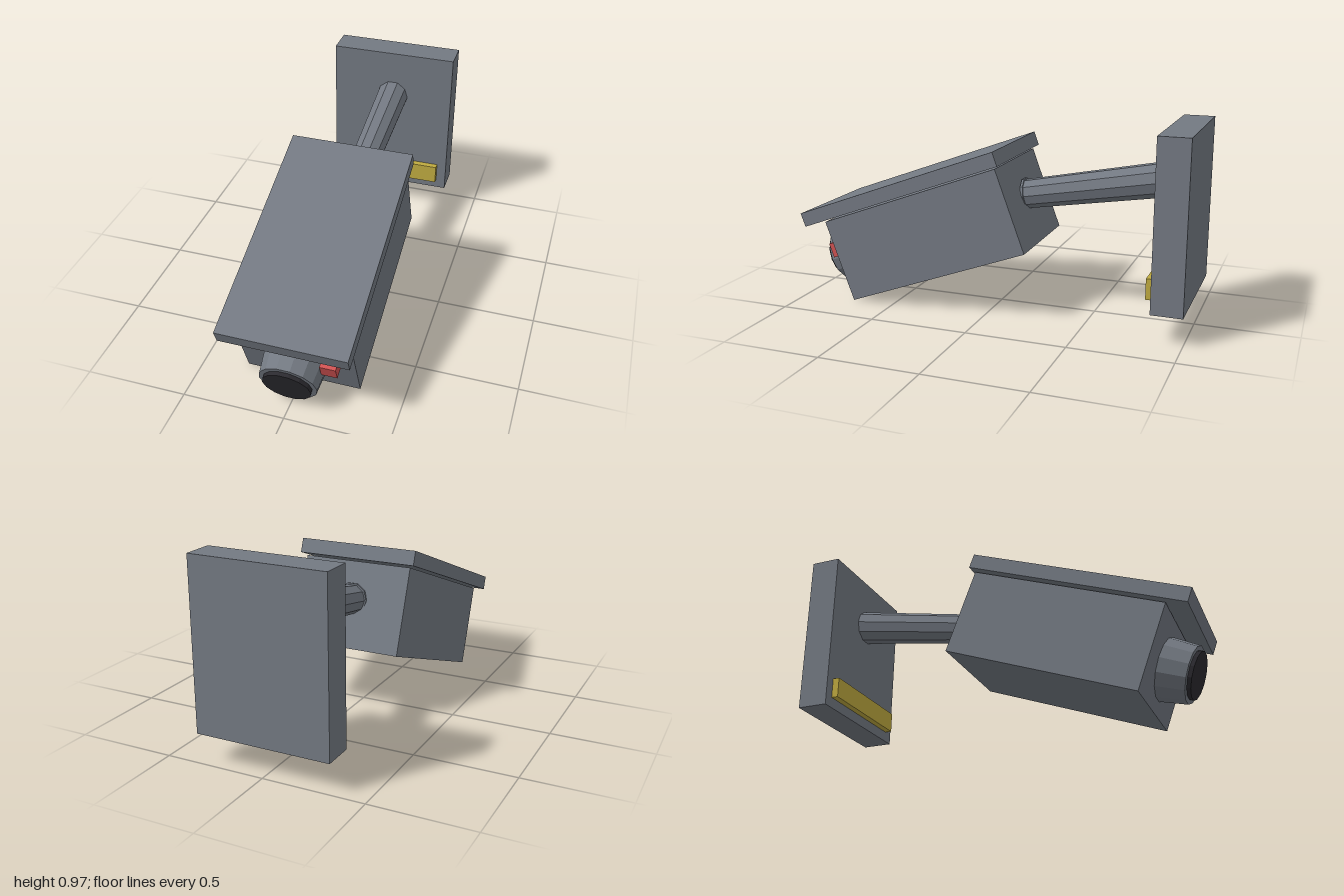
import * as THREE from 'three';

export function createModel() {
  const mat = (name, color) => {
    const m = new THREE.MeshStandardMaterial({ color, flatShading: true });
    m.name = name;
    return m;
  };
  const grey = mat('slate grey', 0x737982);
  const black = mat('lens black', 0x2b2a2f);
  const red = mat('indicator red', 0xd05252);
  const yellow = mat('label yellow', 0xbfaa40);

  const add = (parent, name, geometry, material, x, y, z) => {
    const mesh = new THREE.Mesh(geometry, material);
    mesh.name = name;
    mesh.position.set(x, y, z);
    parent.add(mesh);
    return mesh;
  };
  const box = (w, h, d) => new THREE.BoxGeometry(w, h, d);
  // Faceted cylinder along z with a flat facet on top; first radius is the +z end
  const barrel = (front, back, length, sides) =>
    new THREE.CylinderGeometry(front, back, length, sides, 1, false, Math.PI / sides).rotateX(Math.PI / 2);

  const model = new THREE.Group();
  model.name = 'securityCamera';

  // Wall mount with its label strip
  add(model, 'wallPlate', box(0.67, 0.828, 0.153), grey, 0, 0.569, -0.9235);
  add(model, 'labelStrip', box(0.566, 0.102, 0.034), yellow, 0, 0.259, -0.83);

  // Arm from the plate down to the back of the housing
  const start = new THREE.Vector3(0, 0.732, -0.9);
  const end = new THREE.Vector3(0, 0.59, -0.13);
  const length = start.distanceTo(end);
  const arm = new THREE.Group();
  arm.name = 'arm';
  arm.position.copy(end);
  arm.rotation.x = Math.atan2(start.y - end.y, end.z - start.z);
  add(arm, 'armTube', barrel(0.074, 0.088, length, 10), grey, 0, 0, -length / 2);
  add(arm, 'armFlange', barrel(0.082, 0.082, 0.012, 10), grey, 0, 0, -0.005);
  model.add(arm);

  // Camera head, tilted down
  const head = new THREE.Group();
  head.name = 'cameraHead';
  head.position.set(0, 0.389, 0.326);
  head.rotation.x = THREE.MathUtils.degToRad(20.4);
  add(head, 'housing', box(0.568, 0.435, 1.003), grey, 0, 0, 0);
  add(head, 'hood', box(0.62, 0.073, 1.138), grey, 0, 0.263, 0.04);
  add(head, 'lensBarrel', barrel(0.141, 0.158, 0.16, 14), grey, 0, 0, 0.562);
  add(head, 'lensGlass', barrel(0.118, 0.118, 0.04, 14), black, 0, 0, 0.642);
  add(head, 'indicatorLight', box(0.077, 0.077, 0.07), red, 0.18, 0.057, 0.537);
  model.add(head);

  return model;
}
